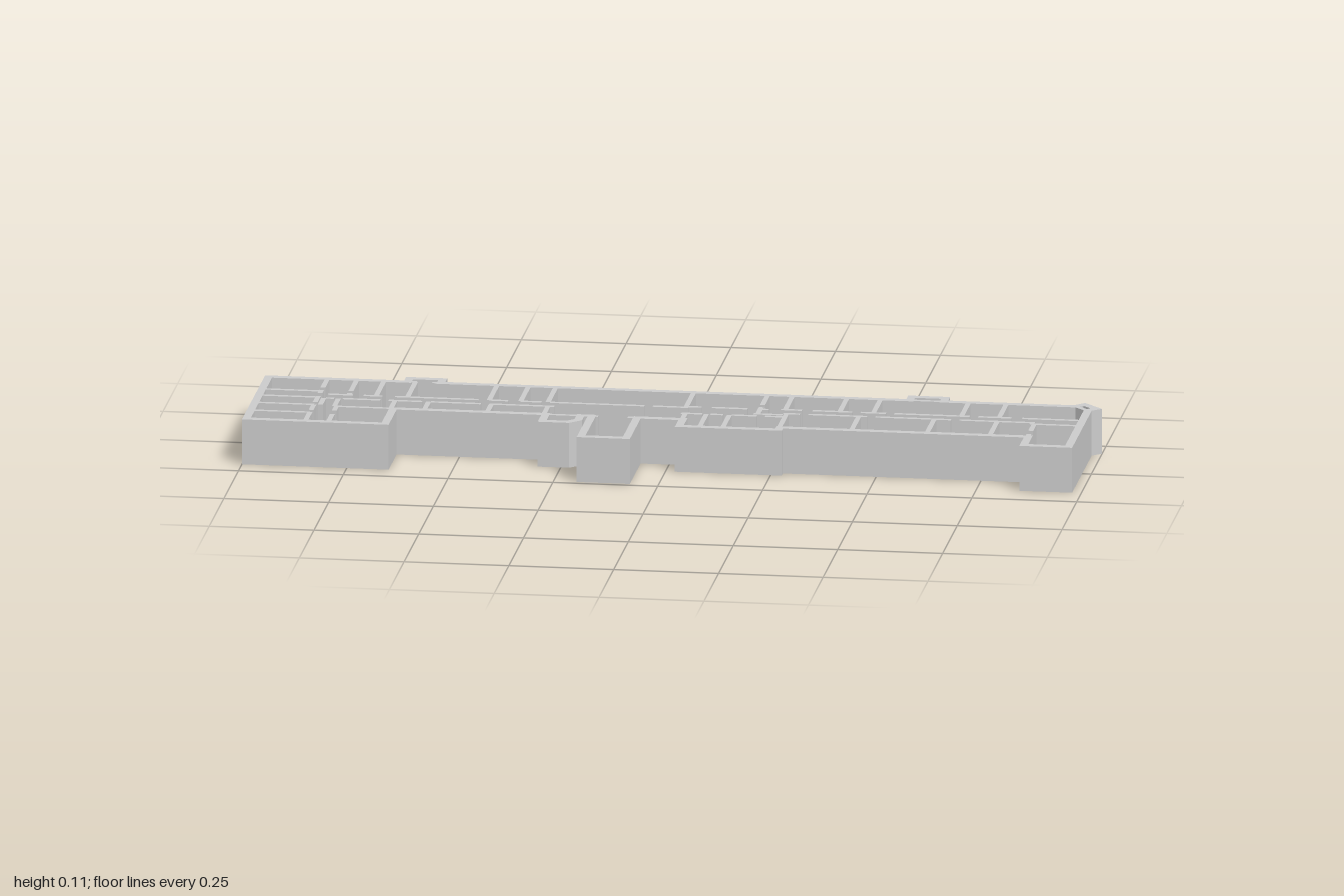
import * as THREE from 'three';

const H = 0.11, OUTER = 0.019, INNER = 0.012;

// Building footprint as [x, z], walked clockwise when seen from above
const OUTLINE = [
  [-1, -0.206], [-0.668, -0.206], [-0.668, -0.238], [-0.57, -0.238], [-0.57, -0.206],
  [0.53, -0.206], [0.53, -0.238], [0.63, -0.238], [0.63, -0.206],
  [0.929, -0.206], [0.953, -0.23], [1, -0.183], [0.978, -0.163],
  [0.978, 0.171], [0.852, 0.171], [0.852, 0.095], [0.278, 0.095], [0.278, 0.115],
  [0.022, 0.115], [0.022, 0.054], [-0.068, 0.054], [-0.068, 0.238], [-0.195, 0.238],
  [-0.195, 0.054], [-0.203, 0.054], [-0.203, 0.087], [-0.23, 0.115], [-0.305, 0.115],
  [-0.305, 0.054], [-0.65, 0.054], [-0.65, 0.191], [-1, 0.191],
];

// Walls along x: [z, from, to, from, to ...]; the gaps are doorways
const ALONG_X = [
  [-0.086, -0.99, -0.85], [-0.031, -0.99, -0.85], [0.035, -0.99, -0.85], [0.105, -0.99, -0.85],
  [-0.061, -0.83, -0.77, -0.745, -0.7, -0.67, -0.47, -0.445, -0.4, -0.37, -0.32, -0.3, -0.075, -0.055, 0.025],
  [-0.026, -0.83, -0.81, -0.79, -0.7, -0.68, -0.6, -0.58, -0.46, -0.44, -0.285],
  [0.044, -0.8, -0.645],
  [0.046, -0.305, -0.17, -0.1, -0.06],
  [-0.068, 0.02, 0.06, 0.085, 0.17, 0.195, 0.22],
  [-0.026, 0.19, 0.26],
  [-0.073, 0.25, 0.3, 0.325, 0.42, 0.44, 0.5, 0.52, 0.7, 0.72, 0.8, 0.825, 0.965],
  [-0.038, 0.26, 0.3, 0.32, 0.46, 0.48, 0.66, 0.68, 0.86],
  [-0.008, 0.02, 0.07, 0.09, 0.12, 0.14, 0.2, 0.22, 0.27],
  [-0.026, 0.85, 0.965],
  [-0.197, -0.67, -0.635, -0.6, -0.565, 0.525, 0.635],
];

// Walls along z: [x, from, to, from, to ...]
const ALONG_Z = [
  [-0.85, -0.196, -0.116, -0.096, -0.066, -0.041, 0.014, 0.034, 0.084, 0.104, 0.18],
  [-0.835, -0.026, 0.034], [-0.795, 0.044, 0.084, 0.114, 0.18],
  [-0.78, -0.196, -0.096, -0.076, -0.061], [-0.715, -0.196, -0.061], [-0.64, -0.196, -0.061],
  [-0.445, -0.196, -0.061], [-0.37, -0.196, -0.061], [-0.305, -0.196, -0.061],
  [-0.8, -0.026, 0.044], [-0.665, -0.026, 0.044], [-0.585, -0.026, 0.044],
  [-0.435, -0.026, 0.044], [-0.3, -0.026, 0.048],
  [0.024, -0.196, -0.056], [0.03, -0.008, 0.054], [0.08, -0.008, 0.104], [0.135, -0.008, 0.104],
  [0.2, -0.196, -0.106, -0.086, -0.026], [0.26, -0.196, -0.076], [0.268, -0.038, 0.104],
  [0.39, -0.196, -0.073], [0.47, -0.196, -0.073], [0.68, -0.196, -0.073], [0.77, -0.196, -0.073],
  [0.44, -0.038, 0.084], [0.62, -0.038, 0.084], [0.77, -0.038, 0.084],
  [0.86, -0.026, 0.034, 0.064, 0.164],
];

// Moves every edge of a closed polygon inwards by d
function inset(points, d) {
  const n = points.length;
  const normal = (a, b) => {
    const dx = b[0] - a[0], dz = b[1] - a[1], l = Math.hypot(dx, dz);
    return [-dz / l, dx / l];
  };
  return points.map((p, i) => {
    const a = normal(points[(i + n - 1) % n], p), b = normal(p, points[(i + 1) % n]);
    const k = d / (1 + a[0] * b[0] + a[1] * b[1]);
    return [p[0] + (a[0] + b[0]) * k, p[1] + (a[1] + b[1]) * k];
  });
}

const toVectors = (points) => points.map(([x, z]) => new THREE.Vector2(x, -z));

export function createModel() {
  const model = new THREE.Group();
  model.name = 'floorPlanBuilding';
  const material = new THREE.MeshStandardMaterial({ color: 0xcccccc, flatShading: true });
  const floorMaterial = new THREE.MeshStandardMaterial({ color: 0xcccccc, side: THREE.DoubleSide });

  const add = (parent, name, geometry, mat = material) => {
    const mesh = new THREE.Mesh(geometry, mat);
    mesh.name = name;
    parent.add(mesh);
    return mesh;
  };

  // Outer wall: footprint with its inset cut out, hole wound the opposite way
  const ring = new THREE.Shape(toVectors(OUTLINE));
  ring.holes.push(new THREE.Path(toVectors(inset(OUTLINE, OUTER)).reverse()));
  const wall = new THREE.ExtrudeGeometry(ring, { depth: H, bevelEnabled: false });
  add(model, 'outerWall', wall.rotateX(-Math.PI / 2));

  // Floor, just above the wall bottoms
  const floor = new THREE.ShapeGeometry(new THREE.Shape(toVectors(inset(OUTLINE, OUTER))));
  add(model, 'floor', floor.rotateX(-Math.PI / 2).translate(0, 0.002, 0), floorMaterial);

  // Partitions between rooms, split at doorways
  const partitions = new THREE.Group();
  partitions.name = 'partitions';
  model.add(partitions);
  const addRuns = (rows, alongX) => {
    for (const [at, ...runs] of rows) {
      for (let i = 0; i < runs.length; i += 2) {
        const length = runs[i + 1] - runs[i], mid = (runs[i] + runs[i + 1]) / 2;
        const box = new THREE.BoxGeometry(alongX ? length : INNER, H, alongX ? INNER : length);
        add(partitions, 'partition', box)
          .position.set(alongX ? mid : at, H / 2, alongX ? at : mid);
      }
    }
  };
  addRuns(ALONG_X, true);
  addRuns(ALONG_Z, false);

  // Diagonal wall closing the corner turret
  const diagonal = add(model, 'turretWall', new THREE.BoxGeometry(0.06, H, INNER));
  diagonal.position.set(0.951, H / 2, -0.181);
  diagonal.rotation.y = -Math.PI / 4;

  return model;
}
